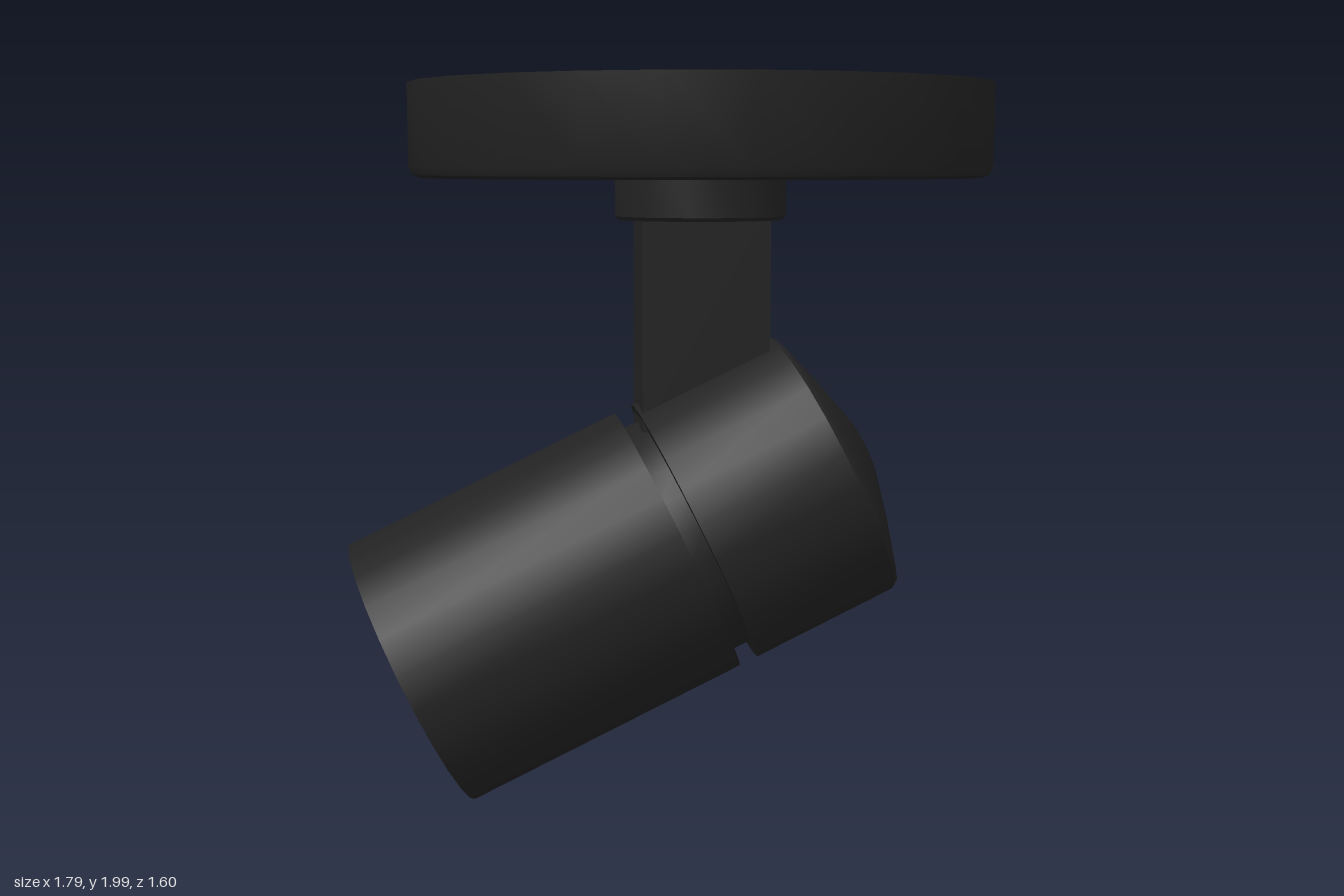
import * as THREE from 'three';
import { toCreasedNormals } from 'three/addons/utils/BufferGeometryUtils.js';

const SIDES = 24;

export function createModel() {
  const model = new THREE.Group();
  model.name = 'spotlight';
  const black = new THREE.MeshStandardMaterial({ color: 0x222222 });
  const glow = new THREE.MeshStandardMaterial({ color: 0xe0d480 });

  // Turned part from [radius, height] pairs, listed bottom to top
  const turned = (name, parent, profile, material = black) => {
    const points = profile.map(([r, y]) => new THREE.Vector2(r, y));
    const geometry = toCreasedNormals(new THREE.LatheGeometry(points, SIDES), 0.6);
    const mesh = new THREE.Mesh(geometry, material);
    mesh.name = name;
    parent.add(mesh);
    return mesh;
  };

  // Ceiling mount, collar and stem share one vertical axis
  const mount = new THREE.Group();
  mount.name = 'mount';
  mount.position.x = 0.09;
  model.add(mount);
  turned('ceilingPlate', mount, [
    [0, 1.745], [0.77, 1.745], [0.79, 1.753], [0.8, 1.775], [0.8, 2], [0, 2],
  ]);
  turned('collar', mount, [
    [0, 1.63], [0.228, 1.63], [0.238, 1.64], [0.238, 1.75], [0, 1.75],
  ]);
  const stem = new THREE.Mesh(new THREE.BoxGeometry(0.355, 0.62, 0.21), black);
  stem.name = 'stem';
  stem.position.set(0.003, 1.36, 0);
  mount.add(stem);

  // Tilted lamp head: local y runs from the open mouth to the rear
  const head = new THREE.Group();
  head.name = 'lampHead';
  head.position.set(-0.725, 0.37, 0);
  head.rotation.z = -1.126;
  model.add(head);

  // Hollow barrel with a thin rim
  turned('barrel', head, [
    [0.388, 0.2], [0.388, 0], [0.4, 0], [0.4, 0.83], [0.34, 0.83],
  ]);
  turned('lens', head, [[0, 0.17], [0.388, 0.17]], glow);

  // Narrow groove between barrel and rear housing
  turned('neck', head, [[0.35, 0.82], [0.35, 0.9]]);

  // Rear housing with a shallow domed end
  turned('rearHousing', head, [
    [0.34, 0.885], [0.4, 0.885], [0.4, 1.315], [0.39, 1.328],
    [0.24, 1.378], [0.095, 1.42], [0, 1.423],
  ]);

  return model;
}
